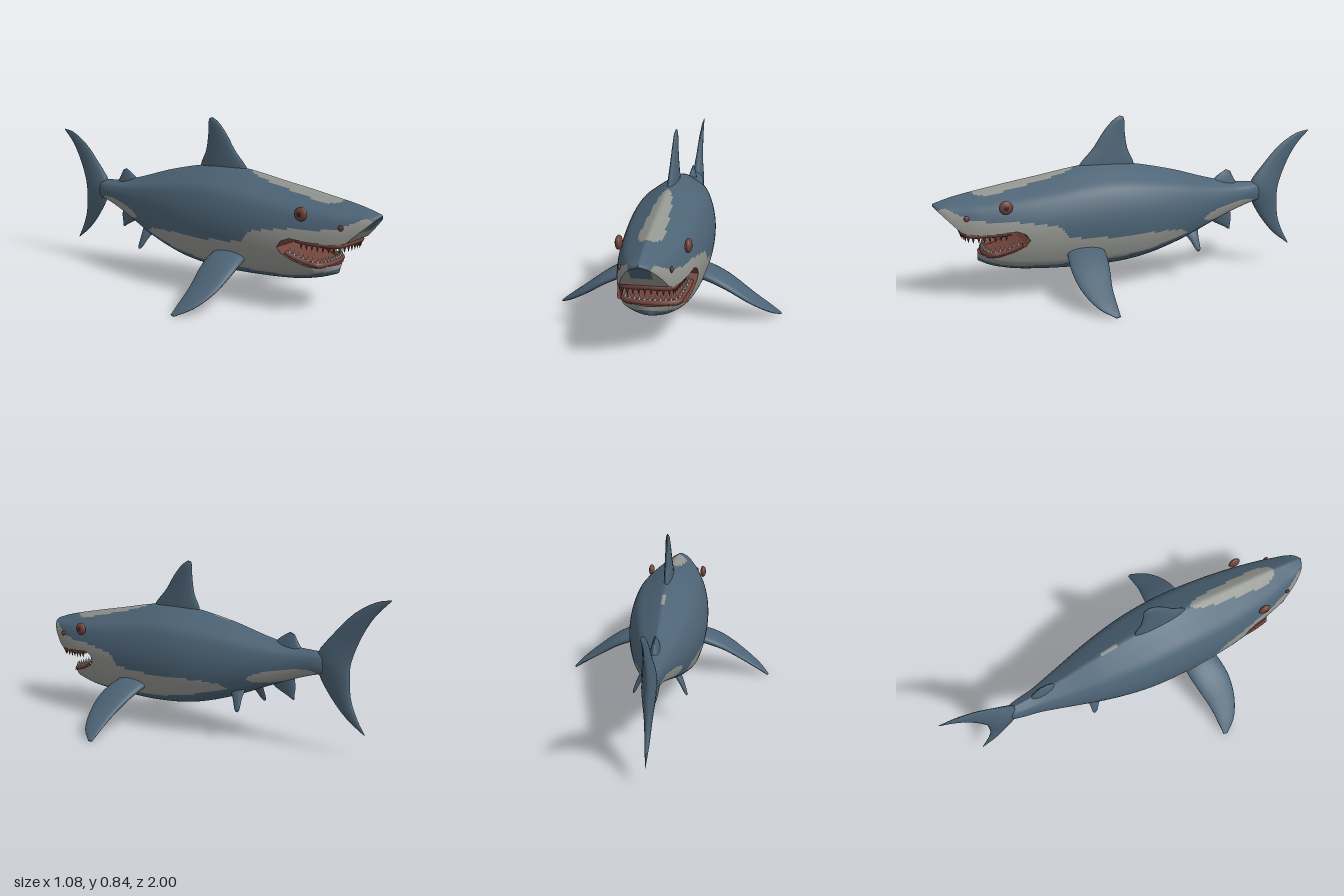
import * as THREE from 'three';

const mat = (name, color) => new THREE.MeshStandardMaterial({ name, color, side: THREE.DoubleSide });

// Smooth (or straight) function through [input, value] pairs in ascending order
function curve(p, straight = false) {
  const slope = (a, b) => (p[b][1] - p[a][1]) / (p[b][0] - p[a][0]);
  const n = p.length - 1;
  return (x) => {
    if (x <= p[0][0]) return p[0][1];
    if (x >= p[n][0]) return p[n][1];
    let i = 0;
    while (x > p[i + 1][0]) i++;
    const h = p[i + 1][0] - p[i][0], t = (x - p[i][0]) / h;
    if (straight) return p[i][1] + t * (p[i + 1][1] - p[i][1]);
    const m0 = slope(Math.max(i - 1, 0), i + 1) * h, m1 = slope(i, Math.min(i + 2, n)) * h;
    const t2 = t * t, t3 = t2 * t;
    return (2 * t3 - 3 * t2 + 1) * p[i][1] + (t3 - 2 * t2 + t) * m0
      + (3 * t2 - 2 * t3) * p[i + 1][1] + (t3 - t2) * m1;
  };
}

// Body outline along z
const top = curve([[-0.72, 0.47], [-0.55, 0.48], [-0.4, 0.51], [-0.2, 0.565], [0, 0.605], [0.15, 0.62],
  [0.3, 0.61], [0.5, 0.575], [0.7, 0.54], [0.9, 0.5], [1, 0.47]]);
const bottom = curve([[-0.72, 0.37], [-0.65, 0.36], [-0.5, 0.31], [-0.4, 0.27], [-0.2, 0.19], [0, 0.135],
  [0.2, 0.115], [0.4, 0.117], [0.6, 0.13], [0.7, 0.147], [0.8, 0.18], [0.9, 0.25], [1, 0.44]]);
const width = curve([[-0.72, 0], [-0.69, 0.032], [-0.55, 0.06], [-0.4, 0.1], [-0.2, 0.152], [0, 0.188], [0.2, 0.2],
  [0.4, 0.195], [0.6, 0.175], [0.8, 0.133], [0.92, 0.088], [0.97, 0.055], [0.99, 0.03], [1, 0]]);
// Upper and lower lip lines
const upperLip = curve([[0.58, 0.3], [0.6, 0.33], [0.64, 0.345], [0.7, 0.337], [0.8, 0.332], [0.86, 0.335],
  [0.885, 0.345], [0.92, 0.38], [0.97, 0.43], [1, 0.46]], true);
const lowerLip = curve([[0.58, 0.3], [0.6, 0.275], [0.65, 0.25], [0.72, 0.228], [0.8, 0.22]], true);
// Half cross-section, crown to keel
const ring = [[0, 1], [0.1, 0.985], [0.43, 0.9], [0.75, 0.8], [0.92, 0.66], [1, 0.5], [0.99, 0.34],
  [0.91, 0.2], [0.78, 0.1], [0.4, 0.02], [0, 0]];
const ringX = curve(ring.map((p, i) => [i / 10, p[0]]));
const ringY = curve(ring.map((p, i) => [i / 10, p[1]]));
// Edges of the pale flank band
const bandTop = curve([[-0.24, 0.255], [-0.2, 0.28], [-0.1, 0.287], [0.2, 0.287], [0.4, 0.3], [0.43, 0.355],
  [0.6, 0.385], [0.75, 0.39], [0.85, 0.405], [0.9, 0.43], [0.95, 0.455], [1, 0.44]], true);
const bandBottom = curve([[-0.24, 0.255], [-0.1, 0.22], [0, 0.192], [0.2, 0.17], [0.6, 0.165], [0.7, 0.175], [0.8, 0.2]], true);

function bodyPoint(z, t) {
  const k = t < 0.5 ? 2 * t : 2 - 2 * t;
  const b = bottom(z);
  return new THREE.Vector3((t < 0.5 ? 1 : -1) * width(z) * ringX(k), b + (top(z) - b) * ringY(k), z);
}

function widthAt(z, y) {
  let best = 0;
  for (let k = 0.4; k <= 1; k += 0.01) {
    const p = bodyPoint(z, k / 2);
    if (p.y >= y) best = p.x;
  }
  return best;
}

// Skin from closed rows of points; paint(centre) picks a material index
function loft(rows, paint = () => 0) {
  const n = rows[0].length, pts = rows.flat();
  const mid = pts.reduce((s, p) => s.add(p), new THREE.Vector3()).divideScalar(pts.length);
  const lists = [[], [], []];
  let volume = 0;
  const v = (i) => pts[i].clone().sub(mid);
  for (let i = 0; i < rows.length - 1; i++) for (let j = 0; j < n; j++) {
    const a = i * n + j, b = i * n + (j + 1) % n, c = a + n, d = b + n;
    const centre = v(a).add(v(b)).add(v(c)).add(v(d)).divideScalar(4).add(mid);
    lists[paint(centre)].push(a, b, c, b, d, c);
    volume += v(a).dot(v(b).cross(v(c))) + v(b).dot(v(d).cross(v(c)));
  }
  const g = new THREE.BufferGeometry().setFromPoints(pts);
  const index = [];
  lists.forEach((l, m) => {
    if (l.length) g.addGroup(index.length, l.length, m);
    for (let i = 0; i < l.length; i += 3) {
      if (volume > 0) index.push(l[i], l[i + 1], l[i + 2]);
      else index.push(l[i], l[i + 2], l[i + 1]);
    }
  });
  g.setIndex(index);
  g.computeVertexNormals();
  return g;
}

function bodyRows(z0, z1, count, change = (p) => p) {
  return Array.from({ length: count + 1 }, (_, i) => {
    const z = z0 + (z1 - z0) * i / count;
    return Array.from({ length: 112 }, (_, j) => change(bodyPoint(z, j / 112)));
  });
}

// Markings: 0 slate, 1 pale
function skin({ x, y, z }) {
  const ax = Math.abs(x);
  if (y < bandTop(z) && y > bandBottom(z) && z > -0.24) return z > 0.9 && ax < 0.045 && y > 0.39 ? 0 : 1;
  const u = (z + 0.5) / 0.16;
  if (Math.abs(u) < 1 && Math.abs(y - 0.345 + (z + 0.5) * 0.18) < 0.03 * Math.sqrt(1 - u * u)) return 1;
  const c = (z - 0.57) / 0.25;
  if (y > 0.46 && Math.abs(c) < 1 && ax < (0.047 + 0.015 * c) * Math.sqrt(1 - c ** 4)) return 1;
  return y > 0.5 && z > -0.18 && z < -0.09 && ax < 0.01 ? 1 : 0;
}

// Fin with a lens section; each section is [lead, trail, half thickness]
function fin(sections, normal) {
  const path = (i) => new THREE.CatmullRomCurve3(sections.map((s) => new THREE.Vector3(...s[i])));
  const lead = path(0), trail = path(1), n = new THREE.Vector3(...normal).normalize();
  const thick = curve(sections.map((s, i) => [i / (sections.length - 1), s[2]]));
  const rows = [];
  for (let i = 0; i <= 24; i++) {
    const a = lead.getPoint(i / 24), b = trail.getPoint(i / 24), row = [];
    for (let j = 0; j < 20; j++) {
      const q = j / 20 * Math.PI * 2;
      row.push(a.clone().lerp(b, (1 - Math.cos(q)) / 2).addScaledVector(n, thick(i / 24) * Math.sin(q)));
    }
    rows.push(row);
  }
  return loft(rows);
}

export function createModel() {
  const model = new THREE.Group();
  const slate = mat('slate skin', 0x4c6375), pale = mat('pale skin', 0x92948f);
  const red = mat('mouth red', 0x70423a), ivory = mat('teeth', 0xb8b5ab), dark = mat('pupil', 0x3a2422);
  const add = (name, geometry, material) => {
    const m = new THREE.Mesh(geometry, material);
    m.name = name;
    model.add(m);
    return m;
  };

  // Trunk, upper head with palate, lower jaw with mouth floor
  const skins = [slate, pale, red];
  add('body', loft(bodyRows(-0.72, 0.58, 130), skin), skins);
  add('upperHead', loft(bodyRows(0.58, 1, 84, (p) => p.setY(Math.max(p.y, upperLip(p.z)))),
    (c) => (c.z < 0.88 && c.y < upperLip(c.z) + 0.002 ? 2 : skin(c))), skins);
  add('lowerJaw', loft(bodyRows(0.58, 0.8, 60, (p) => {
    p.x *= Math.min(1, Math.sqrt(Math.max(0, 0.8 - p.z) / 0.06));
    return p.setY(Math.min(p.y, lowerLip(p.z)));
  }), (c) => (c.y > lowerLip(c.z) - 0.002 ? 2 : skin(c))), skins);

  // Gums and teeth
  const jaw = (name, lip, zs, front, dir, toothMaterial) => {
    const side = zs.map((z) => new THREE.Vector3(widthAt(z, lip(z)) * 0.87, lip(z) + dir * 0.004, z));
    const path = new THREE.CatmullRomCurve3([...side, new THREE.Vector3(0, lip(front) + dir * 0.004, front),
      ...side.slice().reverse().map((p) => new THREE.Vector3(-p.x, p.y, p.z))]);
    add(name + 'Gum', new THREE.TubeGeometry(path, 60, 0.014, 8), red);
    for (let i = 1; i < 24; i++) {
      const tooth = add(name + 'Tooth', new THREE.ConeGeometry(0.009, 0.032, 6), toothMaterial);
      tooth.position.copy(path.getPointAt(i / 24));
      tooth.position.y += dir * 0.022;
      if (dir < 0) tooth.rotation.x = Math.PI;
    }
  };
  jaw('upper', upperLip, [0.66, 0.72, 0.79, 0.85], 0.875, -1, red);
  jaw('lower', lowerLip, [0.61, 0.66, 0.71, 0.75], 0.775, 1, ivory);

  // Dorsal fins, anal fin and tail on the centre line
  const flat = (name, rows) => add(name, fin(rows.map(([z0, y0, z1, y1, h]) => [[0, y0, z0], [0, y1, z1], h]), [1, 0, 0]), slate);
  flat('dorsalFin', [[0.31, 0.58, 0, 0.57, 0.024], [0.28, 0.625, 0.01, 0.62, 0.022], [0.22, 0.69, 0.038, 0.68, 0.018],
    [0.165, 0.77, 0.052, 0.76, 0.013], [0.115, 0.825, 0.055, 0.825, 0.009], [0.08, 0.847, 0.06, 0.842, 0.003]]);
  flat('secondDorsalFin', [[-0.42, 0.48, -0.58, 0.46, 0.022], [-0.46, 0.515, -0.56, 0.49, 0.015], [-0.51, 0.545, -0.535, 0.535, 0.003]]);
  flat('analFin', [[-0.4, 0.3, -0.54, 0.33, 0.022], [-0.44, 0.27, -0.545, 0.28, 0.016], [-0.51, 0.235, -0.54, 0.24, 0.009], [-0.53, 0.222, -0.54, 0.222, 0.002]]);
  flat('tailFin', [[-1, 0.735, -1, 0.73, 0.001], [-0.93, 0.72, -0.935, 0.665, 0.006], [-0.83, 0.662, -0.885, 0.59, 0.012],
    [-0.735, 0.565, -0.84, 0.49, 0.02], [-0.65, 0.45, -0.82, 0.42, 0.032], [-0.66, 0.38, -0.82, 0.36, 0.03],
    [-0.725, 0.27, -0.828, 0.27, 0.018], [-0.81, 0.175, -0.86, 0.185, 0.01], [-0.9, 0.11, -0.9, 0.115, 0.001]]);

  // Paired fins, eyes and nostrils
  for (const s of [1, -1]) {
    const side = s > 0 ? 'left' : 'right';
    add(side + 'PectoralFin', fin([
      [[s * 0.15, 0.225, 0.4], [s * 0.15, 0.225, 0.22], 0.034], [[s * 0.22, 0.203, 0.412], [s * 0.22, 0.203, 0.222], 0.03],
      [[s * 0.3, 0.165, 0.418], [s * 0.3, 0.165, 0.235], 0.024], [[s * 0.4, 0.1, 0.4], [s * 0.4, 0.1, 0.255], 0.018],
      [[s * 0.49, 0.042, 0.35], [s * 0.48, 0.048, 0.26], 0.011], [[s * 0.54, 0.008, 0.285], [s * 0.535, 0.01, 0.262], 0.004],
    ], [s * 0.5, 0.86, 0]), slate);
    add(side + 'PelvicFin', fin([
      [[s * 0.07, 0.27, -0.2], [s * 0.07, 0.27, -0.32], 0.014], [[s * 0.1, 0.22, -0.255], [s * 0.1, 0.22, -0.312], 0.012],
      [[s * 0.125, 0.165, -0.285], [s * 0.125, 0.165, -0.312], 0.007], [[s * 0.13, 0.153, -0.295], [s * 0.13, 0.153, -0.308], 0.002],
    ], [s * 0.85, 0.5, 0]), slate);
    const ball = (name, r, x, y, z, m) => {
      const b = add(side + name, new THREE.SphereGeometry(r, 20, 14), m);
      b.position.set(s * x, y, z);
      b.scale.x = 0.5;
    };
    const ex = widthAt(0.685, 0.455) || 0.15;
    ball('Eye', 0.032, Math.min(ex, 0.152), 0.458, 0.685, red);
    ball('Pupil', 0.016, Math.min(ex, 0.152) + 0.0095, 0.458, 0.685, dark);
    ball('Nostril', 0.013, 0.108, 0.41, 0.86, red);
  }
  return model;
}
